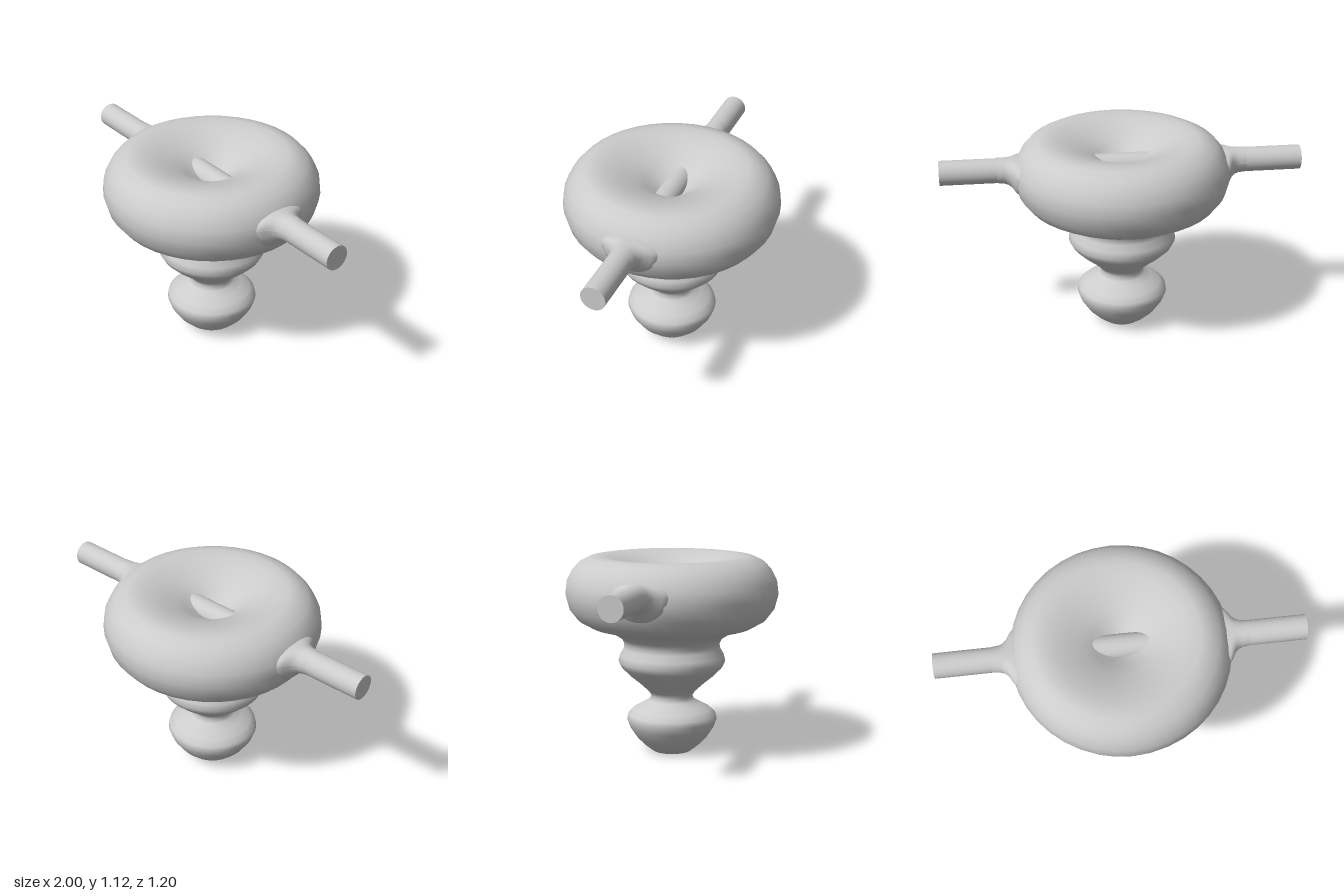
import * as THREE from 'three';

const material = new THREE.MeshStandardMaterial({ color: 0xcccccc });
const AXLE_Y = 0.96, AXLE_R = 0.068;

const toPoints = (list) => list.map(([x, y]) => new THREE.Vector2(x, y));

function part(name, geometry, parent) {
  const mesh = new THREE.Mesh(geometry, material);
  mesh.name = name;
  parent.add(mesh);
  return mesh;
}

// Flared root of an arm: the flare spreads sideways and downward only
function collarGeometry() {
  const profile = toPoints([
    [0.165, 0.55], [0.155, 0.575], [0.13, 0.592], [0.1, 0.608],
    [0.082, 0.628], [0.073, 0.65], [AXLE_R, 0.69],
  ]);
  const geometry = new THREE.LatheGeometry(profile, 32);
  const pos = geometry.attributes.position;
  for (let i = 0; i < pos.count; i++) {
    const x = pos.getX(i), z = pos.getZ(i);
    const r = Math.hypot(x, z);
    // After the turn below, local +x points down
    const down = x > 0 ? x * (1 - (r - AXLE_R) * 1.5) : (x / r) * (AXLE_R + 0.003);
    pos.setX(i, down);
  }
  geometry.rotateZ(-Math.PI / 2);
  geometry.computeVertexNormals();
  return geometry;
}

export function createModel() {
  const group = new THREE.Group();

  // Turned body: foot bulb, waist, middle bulge, wide ring and dished top
  const profile = toPoints([
    [0.11, 0], [0.155, 0.035], [0.2, 0.08], [0.24, 0.14], [0.256, 0.185],
    [0.25, 0.215], [0.22, 0.245], [0.17, 0.273], [0.13, 0.295], [0.117, 0.32],
    [0.132, 0.347], [0.18, 0.392], [0.24, 0.442], [0.285, 0.487], [0.303, 0.522],
    [0.295, 0.558], [0.273, 0.597], [0.27, 0.625], [0.285, 0.655], [0.33, 0.685],
    [0.39, 0.71], [0.46, 0.727], [0.53, 0.767], [0.576, 0.827], [0.598, 0.91],
    [0.59, 0.98], [0.56, 1.04], [0.52, 1.085], [0.465, 1.113], [0.42, 1.12],
    [0.36, 1.114], [0.28, 1.09], [0.2, 1.055], [0.15, 1.028], [0.07, 0.975],
    [0.03, 0.955], [0, 0.95],
  ]);
  part('body', new THREE.LatheGeometry(profile, 40), group);
  part('footBase', new THREE.CircleGeometry(0.11, 40).rotateX(Math.PI / 2), group);

  // One rod runs through the body and shows in the bottom of the dish
  const rod = new THREE.CylinderGeometry(AXLE_R, AXLE_R, 2, 32).rotateZ(Math.PI / 2);
  part('crossRod', rod, group).position.y = AXLE_Y;

  // Collars on both sides
  const collar = collarGeometry();
  for (const side of ['left', 'right']) {
    const mesh = part(side + 'Collar', collar, group);
    mesh.position.y = AXLE_Y;
    if (side === 'right') mesh.rotation.y = Math.PI;
  }
  return group;
}
